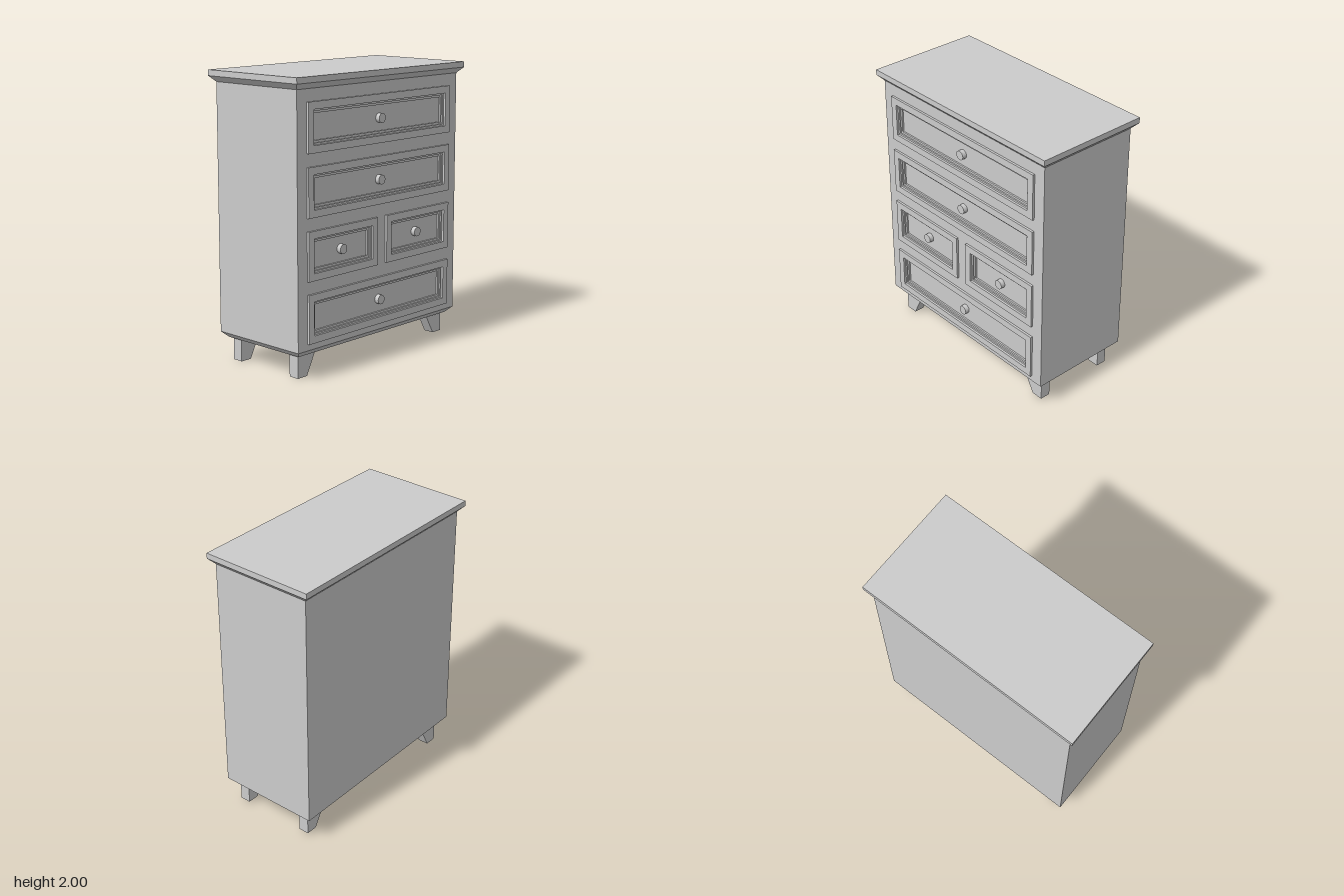
import * as THREE from 'three';

const material = new THREE.MeshStandardMaterial({ color: 0xcccccc, flatShading: true });

function part(name, geometry, parent) {
  const mesh = new THREE.Mesh(geometry, material);
  mesh.name = name;
  parent.add(mesh);
  return mesh;
}

// Skins a series of rectangles [halfWidth, halfHeight, z], closing the last one (and the first if asked)
function loftRects(rects, closeStart) {
  const rings = rects.map(([w, h, z]) => [[-w, -h, z], [w, -h, z], [w, h, z], [-w, h, z]]);
  const pos = [];
  const quad = (a, b, c, d) => pos.push(...a, ...b, ...c, ...a, ...c, ...d);
  for (let r = 0; r < rings.length - 1; r++) {
    for (let i = 0; i < 4; i++) {
      const j = (i + 1) % 4;
      quad(rings[r][i], rings[r][j], rings[r + 1][j], rings[r + 1][i]);
    }
  }
  quad(...rings[rings.length - 1]);
  if (closeStart) quad(...rings[0].slice().reverse());
  const geometry = new THREE.BufferGeometry();
  geometry.setAttribute('position', new THREE.Float32BufferAttribute(pos, 3));
  geometry.computeVertexNormals();
  return geometry;
}

function rectPath(path, x, y, w, h) {
  path.moveTo(x - w, y - h);
  path.lineTo(x + w, y - h);
  path.lineTo(x + w, y + h);
  path.lineTo(x - w, y + h);
  path.closePath();
  return path;
}

// Drawers: centre x, centre y, half width
const DRAWERS = [
  [0, 1.67, 0.713],
  [0, 1.25, 0.713],
  [-0.379, 0.83, 0.334],
  [0.379, 0.83, 0.334],
  [0, 0.41, 0.713],
];
const DRAWER_H = 0.166;

// Drawer moulding: inset from the outer edge, depth
const MOULDING = [
  [0, 0.37], [0, 0.394], [0.05, 0.394], [0.05, 0.378],
  [0.063, 0.378], [0.063, 0.368], [0.078, 0.368], [0.078, 0.356],
];

const BODY_W = 0.8, BODY_D = 0.378, TOP_W = 0.838, TOP_D = 0.418;

export function createModel() {
  const model = new THREE.Group();
  model.name = 'chestOfDrawers';
  // Built with the drawers facing +z, then turned to face +x
  const chest = new THREE.Group();
  chest.name = 'chest';
  chest.rotation.y = Math.PI / 2;
  model.add(chest);

  // Carcass with a front panel cut open behind each drawer
  const frontBack = 0.33;
  const carcass = new THREE.BoxGeometry(BODY_W * 2, 1.72, frontBack + BODY_D);
  carcass.translate(0, 1.06, (frontBack - BODY_D) / 2);
  part('carcass', carcass, chest);

  const face = rectPath(new THREE.Shape(), 0, 1.06, BODY_W, 0.86);
  for (const [x, y, w] of DRAWERS) {
    face.holes.push(rectPath(new THREE.Path(), x, y, w - 0.02, DRAWER_H - 0.02));
  }
  const front = new THREE.ExtrudeGeometry(face, { depth: BODY_D - frontBack, bevelEnabled: false });
  front.translate(0, 0, frontBack);
  part('frontFrame', front, chest);

  // Flared top board and bevelled base
  const top = loftRects([[BODY_W, BODY_D, 1.92], [TOP_W, TOP_D, 1.96], [TOP_W, TOP_D, 2]], true);
  part('topBoard', top.rotateX(-Math.PI / 2), chest);
  const base = loftRects([[BODY_W - 0.04, BODY_D - 0.04, 0.16], [BODY_W, BODY_D, 0.2]], true);
  part('base', base.rotateX(-Math.PI / 2), chest);

  // Drawer fronts with stepped recess and a round knob
  for (const [x, y, w] of DRAWERS) {
    const drawer = new THREE.Group();
    drawer.name = 'drawer';
    drawer.position.set(x, y, 0);
    chest.add(drawer);
    part('drawerFront', loftRects(MOULDING.map(([inset, z]) => [w - inset, DRAWER_H - inset, z]), false), drawer);
    const knob = new THREE.CylinderGeometry(0.033, 0.033, 0.034, 24);
    knob.rotateX(Math.PI / 2).translate(0, 0, 0.371);
    part('knob', knob, drawer);
  }

  // Legs: straight outside, tapered inside
  for (const side of [-1, 1]) {
    const bottom = side < 0 ? 0 : 0.02;
    const profile = new THREE.Shape([
      new THREE.Vector2(side * 0.74, 0.165),
      new THREE.Vector2(side * 0.74, bottom),
      new THREE.Vector2(side * 0.655, bottom),
      new THREE.Vector2(side * 0.573, 0.165),
    ]);
    for (const z of [-0.274, 0.274]) {
      const leg = new THREE.ExtrudeGeometry(profile, { depth: 0.077, bevelEnabled: false });
      leg.translate(0, 0, z - 0.0385);
      part('leg', leg, chest);
    }
  }
  return model;
}
